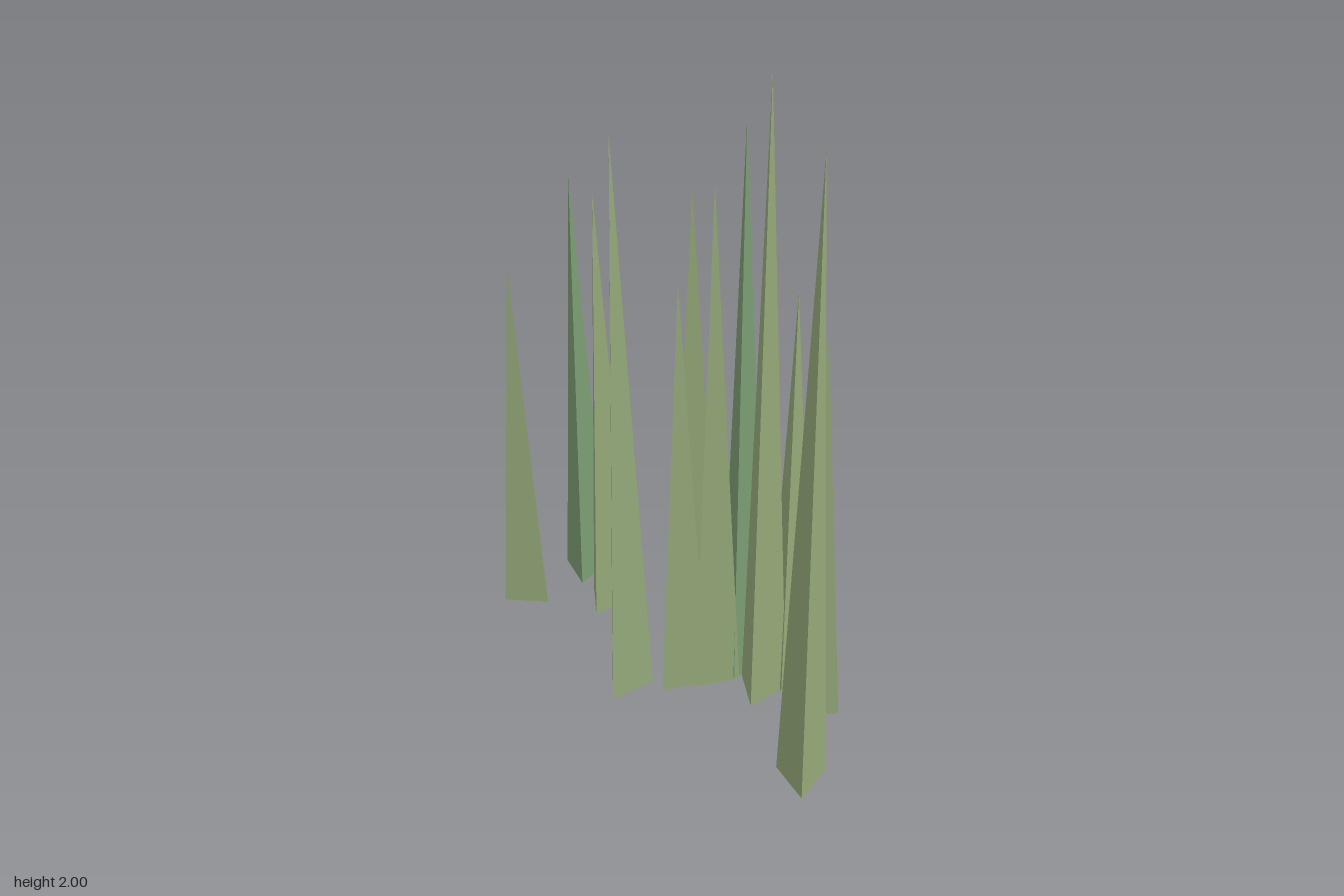
import * as THREE from 'three';

export function createModel() {
  const group = new THREE.Group();
  group.name = 'grassTuft';

  const olive = new THREE.MeshStandardMaterial({ color: 0x94a878, flatShading: true });
  const green = new THREE.MeshStandardMaterial({ color: 0x7a9c72, flatShading: true });

  // Each blade: x, z, height, yaw in degrees, material
  const blades = [
    [-0.37, -0.335, 1.39, 107, olive],
    [-0.59, -0.02, 1.46, -82, green],
    [-0.405, 0.053, 1.48, -100, olive],
    [-0.628, 0.21, 1.235, 98, olive],
    [-0.055, 0.306, 1.82, -103, olive],
    [0.057, 0.17, 1.385, -122, olive],
    [0.118, 0.088, 1.67, 0, olive],
    [0.143, -0.009, 1.83, -91, green],
    [0.29, -0.068, 1.35, -91, olive],
    [0.272, 0.042, 2.0, -97, olive],
    [0.444, -0.013, 1.29, 108, olive],
    [0.62, 0.252, 1.93, -79, olive],
  ];

  // Tapered three-sided spikes with closed undersides
  blades.forEach(([x, z, height, yaw, material], i) => {
    const geometry = new THREE.ConeGeometry(0.084, height, 3);
    geometry.translate(0, height / 2, 0);
    const blade = new THREE.Mesh(geometry, material);
    blade.name = `grassBlade${i + 1}`;
    blade.position.set(x, 0, z);
    blade.rotation.y = THREE.MathUtils.degToRad(yaw);
    group.add(blade);
  });

  return group;
}
